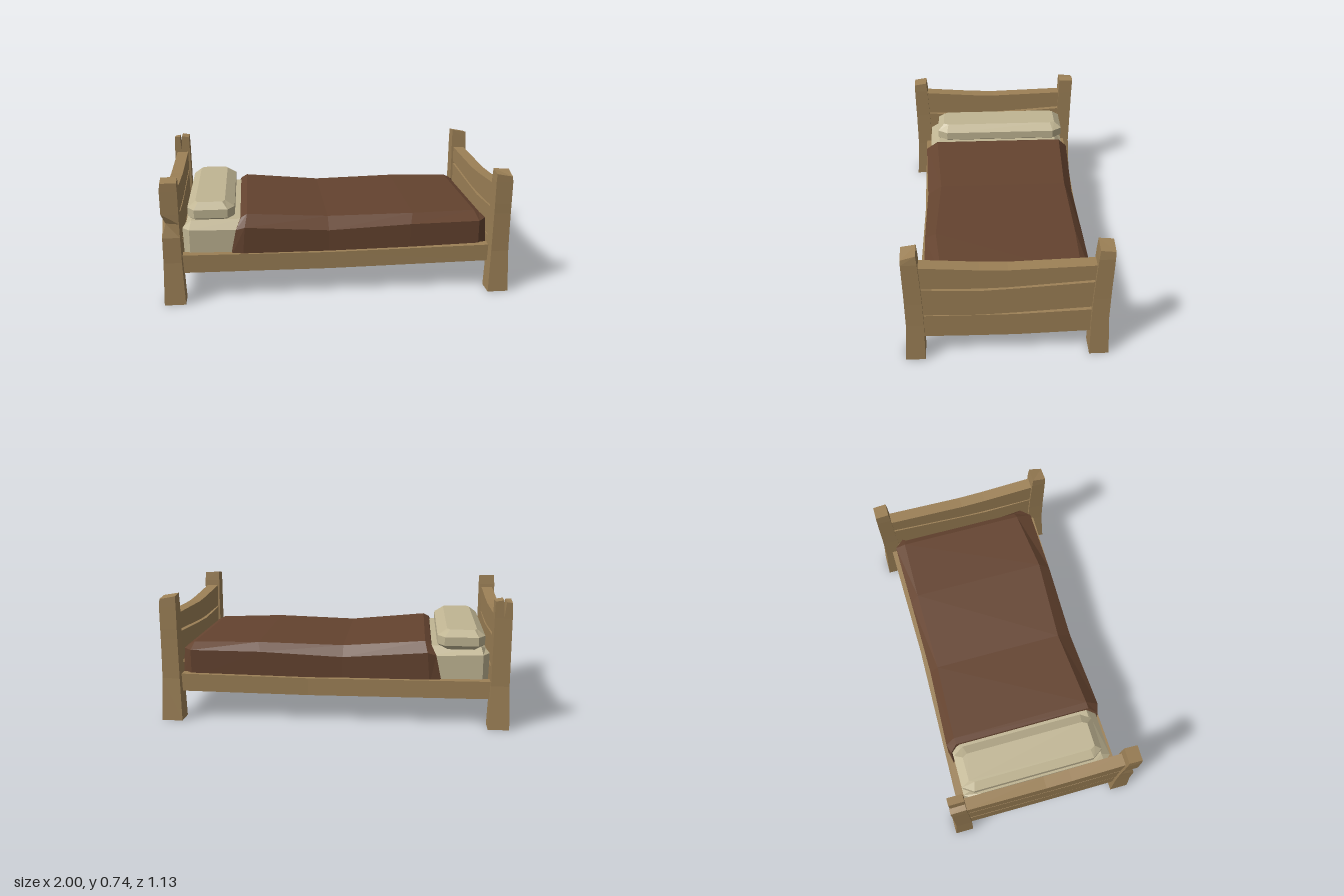
import * as THREE from 'three';

const paint = (name, color) => {
  const m = new THREE.MeshStandardMaterial({ color, flatShading: true });
  m.name = name;
  return m;
};

// Closed solid through a list of rings with equal point counts, faces turned outward
function loft(rings) {
  const n = rings[0].length;
  const pos = rings.flat(2);
  let idx = [];
  for (let r = 0; r < rings.length - 1; r++) {
    for (let i = 0; i < n; i++) {
      const a = r * n + i, b = r * n + (i + 1) % n;
      idx.push(a, b, a + n, b, b + n, a + n);
    }
  }
  const last = (rings.length - 1) * n;
  for (let i = 1; i < n - 1; i++) {
    idx.push(0, i + 1, i, last, last + i, last + i + 1);
  }
  // Signed volume decides the winding
  const p = i => new THREE.Vector3().fromArray(pos, i * 3);
  let volume = 0;
  for (let i = 0; i < idx.length; i += 3) {
    volume += p(idx[i]).dot(p(idx[i + 1]).cross(p(idx[i + 2])));
  }
  if (volume < 0) idx.reverse();
  let g = new THREE.BufferGeometry();
  g.setAttribute('position', new THREE.Float32BufferAttribute(pos, 3));
  g.setIndex(idx);
  g = g.toNonIndexed();
  g.computeVertexNormals();
  return g;
}

// Level ring; y may be one height or four corner heights
const rect = (y, x0, x1, z0, z1) =>
  [[x0, z0], [x1, z0], [x1, z1], [x0, z1]].map(([x, z], i) => [x, Array.isArray(y) ? y[i] : y, z]);

// Beam along x or z; stations are [position, side min, side max, bottom, top]
const beam = (axis, stations) => loft(stations.map(([t, s0, s1, y0, y1]) =>
  [[s0, y0], [s1, y0], [s1, y1], [s0, y1]].map(([s, y]) => (axis === 'x' ? [t, y, s] : [s, y, t]))));

export function createModel() {
  const wood = paint('wood', 0x9c8056);
  const blanketBrown = paint('blanketBrown', 0x64432f);
  const linen = paint('linen', 0xc0b593);

  const model = new THREE.Group();
  model.name = 'bed';
  const add = (name, geometry, material) => {
    const mesh = new THREE.Mesh(geometry, material);
    mesh.name = name;
    model.add(mesh);
  };

  // Corner posts: inner/outer sides flared at the foot, uneven worn tops
  const post = (sx, sz, tops, chip = 0) => {
    const ring = (y, xi, xo, zi, zo) => rect(y, sx * xi, sx * xo, sz * zi, sz * zo);
    const rings = [
      ring(0, 0.88, 1, 0.455, 0.565),
      ring(0.25, 0.89, 0.992, 0.452, 0.548),
      ring(0.4, 0.892, 0.99, 0.454, 0.548),
      ring(0.48, 0.893, 0.99, 0.457, 0.548),
      ring(0.54, 0.893, 0.99, 0.459, 0.549),
      ring(tops.map(y => Math.min(y, 0.7) - 0.03), 0.893, 0.99, 0.465, 0.55),
    ];
    rings[3][2][0] -= sx * chip;
    rings[3][2][2] -= sz * chip;
    if (tops.length === 4) rings.push(ring(tops, 0.895, 0.985, 0.47, 0.55));
    return loft(rings);
  };
  add('frontLeftPost', post(1, 1, [0.73, 0.725, 0.7, 0.717]), wood);
  add('backLeftPost', post(1, -1, [0.74, 0.725, 0.715, 0.732]), wood);
  add('frontRightPost', post(-1, 1, [0.73, 0.73, 0.717, 0.717], 0.022), wood);

  // Split post: lower body with two prongs around a V-shaped crack
  add('backRightPost', loft([
    rect(0, -1, -0.88, -0.565, -0.455),
    rect(0.25, -0.992, -0.89, -0.548, -0.452),
    rect(0.64, -0.99, -0.893, -0.552, -0.463),
  ]), wood);
  add('splitTopOuter', loft([
    rect(0.64, -0.99, -0.945, -0.552, -0.463),
    rect([0.725, 0.73, 0.735, 0.735], -0.987, -0.955, -0.555, -0.465),
  ]), wood);
  add('splitTopInner', loft([
    rect(0.64, -0.945, -0.893, -0.552, -0.463),
    rect([0.74, 0.732, 0.732, 0.74], -0.94, -0.895, -0.555, -0.465),
  ]), wood);

  // Headboard and footboard: three warped planks each, [z, bottom, top]
  const planks = [
    [[-0.46, 0.157, 0.312], [-0.05, 0.145, 0.296], [0.2, 0.148, 0.298], [0.46, 0.153, 0.302]],
    [[-0.46, 0.333, 0.507], [-0.05, 0.309, 0.48], [0.15, 0.3, 0.47], [0.46, 0.309, 0.486]],
    [[-0.465, 0.523, 0.62], [0, 0.49, 0.606], [0.15, 0.487, 0.612], [0.465, 0.495, 0.636]],
  ];
  for (const side of [1, -1]) {
    planks.forEach((plank, i) => {
      const lift = side < 0 && i === 2 ? 0.014 : 0;
      add(side > 0 ? 'footboardPlank' : 'headboardPlank', beam('z', plank.map(([z, y0, y1]) =>
        [z, Math.min(side * 0.905, side * 0.975), Math.max(side * 0.905, side * 0.975), y0, y1 + lift])), wood);
    });
  }

  // Side rails
  add('frontRail', beam('x', [
    [-0.91, 0.43, 0.487, 0.163, 0.27], [-0.05, 0.42, 0.473, 0.151, 0.252], [0.91, 0.43, 0.487, 0.168, 0.267],
  ]), wood);
  add('backRail', beam('x', [
    [-0.91, -0.51, -0.45, 0.163, 0.265], [0.15, -0.492, -0.44, 0.153, 0.254], [0.91, -0.507, -0.45, 0.165, 0.268],
  ]), wood);

  // Support slats under the mattress
  for (const x of [-0.47, 0, 0.45]) {
    add('slat', beam('z', [[-0.46, x - 0.04, x + 0.04, 0.17, 0.225], [0.44, x - 0.04, x + 0.04, 0.17, 0.225]]), wood);
  }

  // Bedding cross-section: vertical sides, bevelled upper edges, flat top
  const bedding = (xBottom, xSide, xTop, y0, ySide, yTop, back, backTop, frontTop, front) => [
    [xBottom, y0, back], [xSide, ySide, back], [xTop, yTop, backTop],
    [xTop, yTop, frontTop], [xSide, ySide, front], [xBottom, y0, front],
  ];

  add('mattress', loft([
    bedding(-0.885, -0.89, -0.87, 0.215, 0.405, 0.425, -0.4, -0.36, 0.35, 0.4),
    bedding(-0.85, -0.85, -0.84, 0.215, 0.405, 0.445, -0.46, -0.41, 0.39, 0.445),
    bedding(-0.54, -0.54, -0.53, 0.215, 0.395, 0.445, -0.46, -0.41, 0.385, 0.442),
    bedding(-0.3, -0.3, -0.3, 0.215, 0.35, 0.4, -0.44, -0.38, 0.35, 0.43),
    bedding(0.87, 0.86, 0.82, 0.215, 0.35, 0.4, -0.4, -0.36, 0.33, 0.38),
  ]), linen);

  add('blanket', loft([
    bedding(-0.62, -0.585, -0.555, 0.235, 0.4, 0.457, -0.468, -0.425, 0.4, 0.455),
    bedding(-0.55, -0.535, -0.52, 0.235, 0.418, 0.476, -0.483, -0.43, 0.395, 0.47),
    bedding(-0.05, -0.05, -0.05, 0.235, 0.378, 0.437, -0.465, -0.415, 0.365, 0.45),
    bedding(0.43, 0.43, 0.45, 0.235, 0.4, 0.447, -0.47, -0.42, 0.39, 0.455),
    bedding(0.84, 0.84, 0.83, 0.235, 0.403, 0.44, -0.476, -0.415, 0.35, 0.447),
    bedding(0.9, 0.89, 0.865, 0.235, 0.403, 0.425, -0.42, -0.4, 0.34, 0.39),
  ]), blanketBrown);

  // Pillow: stacked eight-sided outlines with cut corners
  const outline = (y, x0, x1, z0, z1, cx, cz) => [
    [x0 + cx, y, z0], [x1 - cx, y, z0], [x1, y, z0 + cz], [x1, y, z1 - cz],
    [x1 - cx, y, z1], [x0 + cx, y, z1], [x0, y, z1 - cz], [x0, y, z0 + cz],
  ];
  add('pillow', loft([
    outline(0.43, -0.83, -0.62, -0.43, 0.36, 0.03, 0.04),
    outline(0.455, -0.862, -0.59, -0.455, 0.39, 0.04, 0.06),
    outline(0.505, -0.862, -0.59, -0.455, 0.39, 0.04, 0.06),
    outline(0.541, -0.815, -0.645, -0.41, 0.35, 0.015, 0.03),
  ]), linen);

  return model;
}
